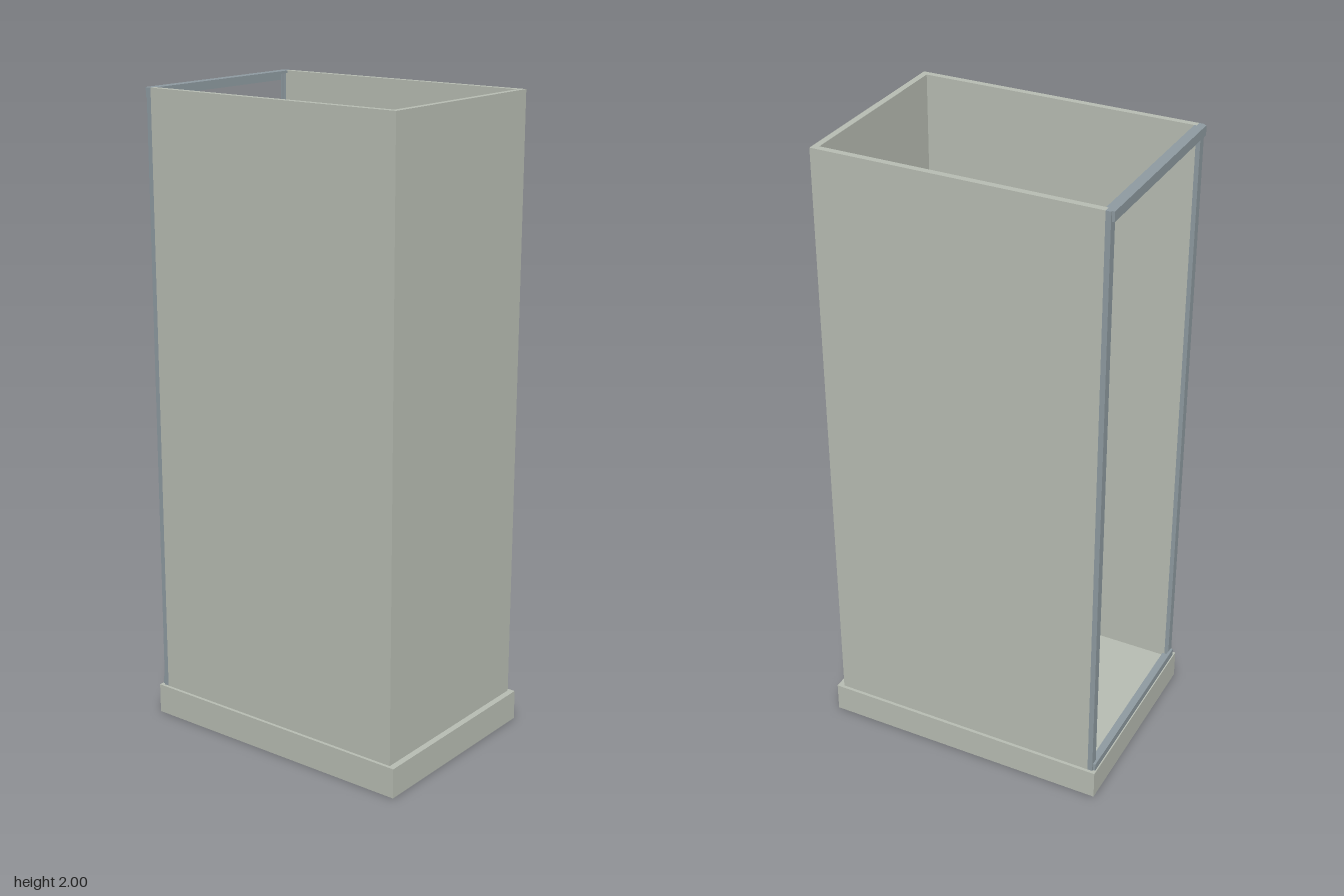
import * as THREE from 'three';

const mat = (color) => new THREE.MeshStandardMaterial({ color });

export function createModel() {
  const model = new THREE.Group();
  const shell = mat(0xb8bdb3), steel = mat(0x8f9ba1), wood = mat(0xa87850), dark = mat(0x3a3f3e), green = mat(0x14261a);

  // Box given by its limits on each axis
  function box(name, material, [x0, x1], [y0, y1], [z0, z1], parent = model) {
    const mesh = new THREE.Mesh(new THREE.BoxGeometry(x1 - x0, y1 - y0, z1 - z0), material);
    mesh.position.set((x0 + x1) / 2, (y0 + y1) / 2, (z0 + z1) / 2);
    mesh.name = name;
    parent.add(mesh);
    return mesh;
  }

  // Plinth, also the cabinet floor
  box('plinth', shell, [-0.33, 0.33], [0, 0.095], [-0.465, 0.465]);

  // Three-sided housing, open at the top and back
  const plan = new THREE.Shape([
    [-0.32, -0.437], [-0.30, -0.437], [-0.30, 0.425], [0.30, 0.425],
    [0.30, -0.437], [0.32, -0.437], [0.32, 0.445], [-0.32, 0.445],
  ].map(([x, z]) => new THREE.Vector2(x, -z)));
  const housing = new THREE.Mesh(new THREE.ExtrudeGeometry(plan, { depth: 1.905, bevelEnabled: false }), shell);
  housing.rotation.x = -Math.PI / 2;
  housing.position.y = 0.095;
  housing.name = 'housing';
  model.add(housing);

  // Door frame of upright posts and angle-section rails
  const frame = new THREE.Group();
  frame.name = 'doorFrame';
  model.add(frame);
  for (const s of [-1, 1]) {
    const mid = 0.31 * s;
    box('framePost', steel, [mid - 0.01, mid + 0.01], [0.095, 2], [-0.453, -0.437], frame);
    box('framePostLip', steel, [mid - 0.01 - (s > 0 ? 0.006 : 0), mid + 0.01 + (s < 0 ? 0.006 : 0)],
      [0.095, 2], [-0.453, -0.447], frame);
  }
  box('topRailFlange', steel, [-0.30, 0.30], [1.992, 2], [-0.453, -0.43], frame);
  box('topRailFace', steel, [-0.315, 0.315], [1.97, 2], [-0.461, -0.452], frame);
  box('bottomRailFlange', steel, [-0.30, 0.30], [0.095, 0.103], [-0.453, -0.43], frame);
  box('bottomRailFace', steel, [-0.315, 0.315], [0.095, 0.12], [-0.461, -0.452], frame);

  // Two mounting brackets standing off the front wall
  for (const top of [1.083, 0.843]) {
    const bracket = new THREE.Group();
    bracket.name = 'mountingBracket';
    model.add(bracket);
    box('crossRail', steel, [-0.28, 0.28], [top - 0.035, top], [0.073, 0.093], bracket);
    for (const x of [-0.228, 0.228])
      box('bracketArm', steel, [x - 0.015, x + 0.015], [top - 0.03, top], [0.093, 0.425], bracket);
  }

  // Wooden backboard between the arms
  box('backboard', wood, [-0.205, 0.203], [0.79, 1.10], [0.397, 0.413]);

  // Switch plate with a ribbed switch block
  box('switchPlate', steel, [-0.068, 0.067], [1.06, 1.16], [0.064, 0.083]);
  box('switchBlock', dark, [-0.053, 0.052], [1.08, 1.15], [0.036, 0.064]);
  for (let i = 0; i < 5; i++) {
    const x = -0.043 + i * 0.0213;
    box('switchRib', dark, [x - 0.008, x + 0.008], [1.09, 1.14], [0.033, 0.037]);
  }

  // Thin cable from the backboard to the switch
  const path = new THREE.CurvePath();
  const points = [[-0.12, 1.1, 0.397], [-0.12, 1.1, 0.064], [-0.077, 1.1, 0.062]]
    .map((p) => new THREE.Vector3(...p));
  path.add(new THREE.LineCurve3(points[0], points[1]));
  path.add(new THREE.LineCurve3(points[1], points[2]));
  for (const curve of path.curves) {
    const cable = new THREE.Mesh(new THREE.TubeGeometry(curve, 1, 0.0025, 8), green);
    cable.name = 'cable';
    model.add(cable);
  }

  return model;
}
